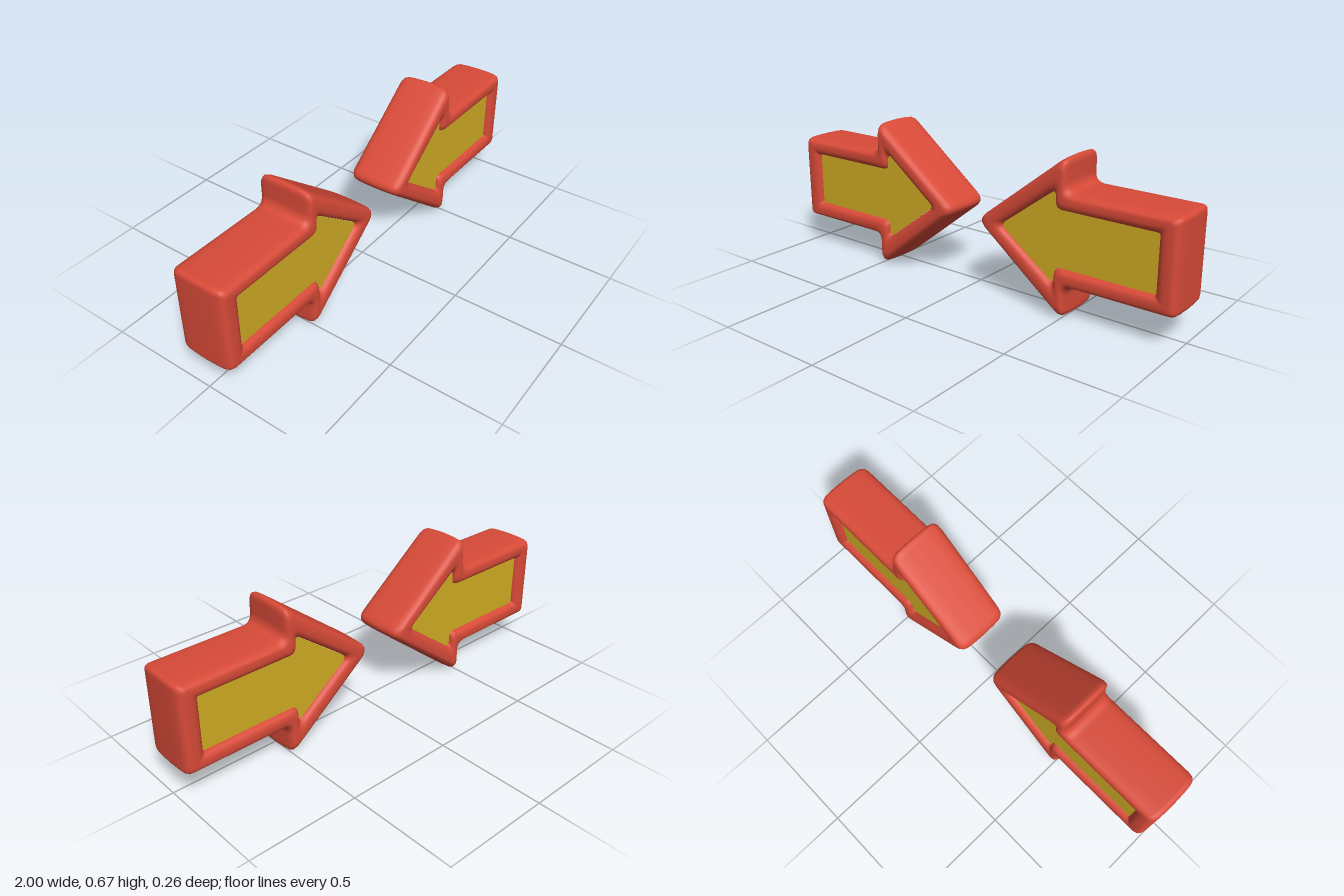
import * as THREE from 'three';

const red = new THREE.MeshStandardMaterial({ color: 0xd84a38 });
red.name = 'red frame';
const yellow = new THREE.MeshStandardMaterial({ color: 0xd0ac24 });
yellow.name = 'yellow panel';

// Arrow corners, counter-clockwise from the tip: [x, y, rounding length]
const half = (tip, barb, notch, end) => {
  const mirror = ([x, y, r]) => [x, -y, r];
  return [tip, mirror(barb), mirror(notch), mirror(end), end, notch, barb];
};
const OUTER = half([0.06, 0, 0.05], [0.51, 0.356, 0.05], [0.51, 0.2, 0.05], [1, 0.2, 0.025]);
const INNER = half([0.185, 0, 0.035], [0.458, 0.205, 0.04], [0.458, 0.123, 0.03], [0.91, 0.123, 0.01]);
const STEPS = 8;

// Rounded arrow outline: s = 0 is the outer edge, s = 1 the panel edge
function outline(s) {
  const corners = OUTER.map((o, i) => o.map((v, k) => v + (INNER[i][k] - v) * s));
  const pts = [];
  corners.forEach(([x, y, r], i) => {
    const p = new THREE.Vector2(x, y);
    const toward = (c) => new THREE.Vector2(c[0], c[1]).sub(p).setLength(r).add(p);
    const n = corners.length;
    const curve = new THREE.QuadraticBezierCurve(
      toward(corners[(i + n - 1) % n]), p, toward(corners[(i + 1) % n]));
    pts.push(...curve.getPoints(STEPS));
  });
  return pts;
}

// Soft frame: outlines lofted along a rounded section from back to front
function frameGeometry() {
  const front = [
    [0.015, 0.06], [0.04, 0.095], [0.1, 0.112], [0.2, 0.123], [0.33, 0.128],
    [0.62, 0.128], [0.78, 0.125], [0.9, 0.118], [0.98, 0.108], [1, 0.098],
  ];
  const back = front.map(([s, z]) => [s, -z]).reverse();
  const section = [...back, [0, 0], ...front];
  const pos = [], index = [];
  let n = 0;
  for (const [s, z] of section) {
    const ring = outline(s);
    n = ring.length;
    ring.forEach((p) => pos.push(p.x, p.y, z));
  }
  for (let i = 0; i < section.length - 1; i++) {
    for (let j = 0; j < n; j++) {
      const a = i * n + j, b = i * n + (j + 1) % n;
      index.push(a, b, b + n, a, b + n, a + n);
    }
  }
  const geo = new THREE.BufferGeometry();
  geo.setAttribute('position', new THREE.Float32BufferAttribute(pos, 3));
  geo.setIndex(index);
  geo.computeVertexNormals();
  return geo;
}

function makeArrow(name, frameGeo, panelGeo) {
  const arrow = new THREE.Group();
  arrow.name = name;
  const add = (part, geo, mat) => {
    const mesh = new THREE.Mesh(geo, mat);
    mesh.name = part;
    arrow.add(mesh);
    return mesh;
  };
  add('frame', frameGeo, red);
  // Recessed panels on both faces
  add('frontPanel', panelGeo, yellow);
  add('backPanel', panelGeo, yellow).rotation.x = Math.PI;
  arrow.position.y = 0.337;
  return arrow;
}

export function createModel() {
  const model = new THREE.Group();
  model.name = 'arrowPair';
  const frameGeo = frameGeometry();
  const panelGeo = new THREE.ShapeGeometry(new THREE.Shape(outline(1))).translate(0, 0, 0.104);
  // Two arrows pointing at each other
  const left = makeArrow('leftArrow', frameGeo, panelGeo);
  const right = makeArrow('rightArrow', frameGeo, panelGeo);
  right.rotation.y = Math.PI;
  model.add(left, right);
  return model;
}
